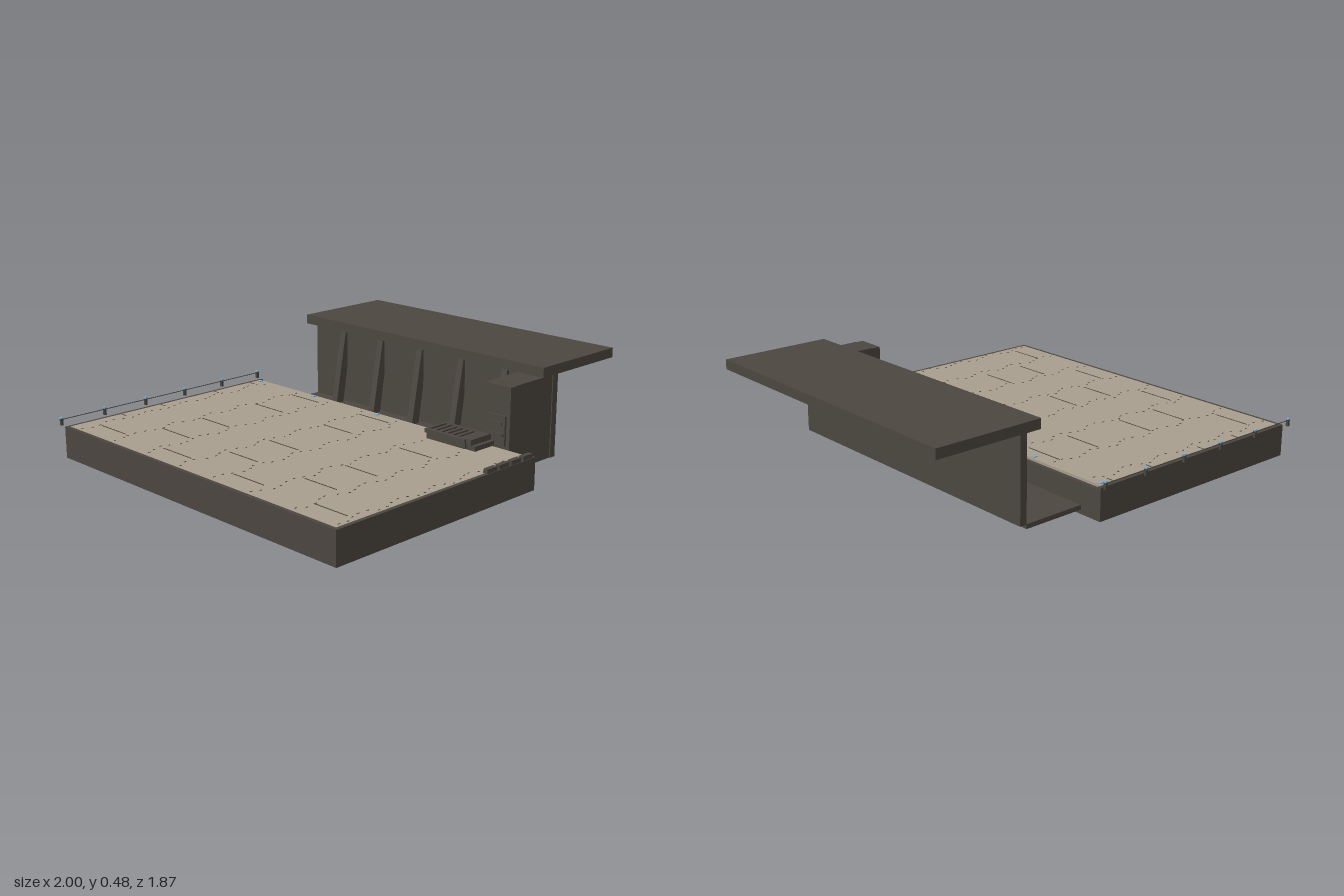
import * as THREE from 'three';

export function createModel() {
  const root = new THREE.Group();
  root.name = 'platformWithShelter';
  const mat = (name, color) => {
    const m = new THREE.MeshStandardMaterial({ color });
    m.name = name;
    return m;
  };
  const dark = mat('darkConcrete', 0x4c4740);
  const stone = mat('paleStone', 0xa99e8e);
  const blue = mat('paleBlueLight', 0x7fabd0);

  // box given by its min and max on each axis
  function box(name, m, x0, x1, y0, y1, z0, z1, parent = root) {
    const mesh = new THREE.Mesh(new THREE.BoxGeometry(x1 - x0, y1 - y0, z1 - z0), m);
    mesh.position.set((x0 + x1) / 2, (y0 + y1) / 2, (z0 + z1) / 2);
    mesh.name = name;
    parent.add(mesh);
    return mesh;
  }
  function group(name) {
    const g = new THREE.Group();
    g.name = name;
    root.add(g);
    return g;
  }

  // hollow base: four walls and a deck, open underneath
  const base = group('platformBase');
  const L = -0.99, R = 0.225, B = -0.9, F = 0.93, T = 0.018;
  box('backWall', dark, L, R, 0, 0.154, B, B + T, base);
  box('frontWall', dark, L, R, 0, 0.154, F - T, F, base);
  box('rightWall', dark, L, L + T, 0, 0.154, B + T, F - T, base);
  box('leftWall', dark, R - T, R, 0, 0.143, B + T, F - T, base);
  box('deck', dark, L + T, R - T, 0.125, 0.143, B + T, F - T, base);
  box('paving', stone, L + T, R - T, 0.143, 0.155, B + T, F - T, base);

  // joints between the slabs: alternating cross joints and broken long joints
  const joints = group('pavingJoints');
  const rowsA = [[-0.79, -0.6], [-0.31, -0.11], [0.18, 0.37], [0.67, 0.86]];
  const rowsB = [[-0.55, -0.35], [-0.06, 0.13], [0.43, 0.62]];
  const joint = (x, z0, z1) =>
    box('crossJoint', dark, x - 0.002, x + 0.002, 0.154, 0.157, z0, z1, joints);
  rowsA.forEach(([a, b]) => joint(-0.86, a, b));
  rowsB.forEach(([a, b], i) => {
    [-0.685, -0.45, -0.11].forEach((x) => joint(x, a, b));
    if (i < 2) joint(0.13, a, b);
  });
  [-0.685, -0.45, -0.11, 0.13].forEach((x) => joint(x, -0.88, -0.84));
  let seed = 7;
  const rand = () => (seed = (seed * 16807) % 2147483647) / 2147483647;
  [-0.815, -0.57, -0.325, -0.075, 0.165, 0.41, 0.66, 0.88].forEach((z, row) => {
    for (let i = 0; i < 26; i++) {
      const x = -0.96 + i * 0.0445 + rand() * 0.015;
      if (x > 0.06 && z > 0.38 && z < 0.72) continue;
      const zz = z + 0.018 * Math.sin(i * 1.3 + row) + (rand() - 0.5) * 0.01;
      const chip = box('chippedJoint', dark, x, x + 0.012, 0.154, 0.157, zz, zz + 0.003, joints);
      chip.rotation.y = (rand() - 0.5) * 0.9;
    }
  });

  // row of low blocks on the front edge
  for (let i = 0; i < 4; i++) {
    const x = -0.1 + i * 0.081;
    box('edgeBlock', dark, x, x + 0.065, 0.154, 0.174, F - 0.026, F - 0.003);
  }

  // rail with lit posts behind the back edge
  const rail = group('backRail');
  box('railWire', dark, L, R, 0.181, 0.184, -0.929, -0.926, rail);
  for (let i = 0; i < 6; i++) {
    const x = L + ((R - L) * i) / 5;
    box('railPost', dark, x - 0.006, x + 0.006, 0.155, 0.187, -0.934, -0.921, rail);
    box('railLamp', blue, x - 0.007, x + 0.007, 0.187, 0.194, -0.935, -0.92, rail);
  }

  // small lights set into the paving
  [-0.86, -0.45, 0].forEach((z) =>
    box('floorLight', blue, 0.178, 0.2, 0.154, 0.159, z - 0.01, z + 0.01));

  // low slatted bench with a step
  const bench = group('slattedBench');
  box('benchBody', dark, 0.085, 0.22, 0.155, 0.188, 0.415, 0.645, bench);
  box('benchRim', dark, 0.075, 0.095, 0.185, 0.203, 0.41, 0.65, bench);
  box('benchRim', dark, 0.21, 0.222, 0.185, 0.203, 0.41, 0.65, bench);
  box('benchEnd', dark, 0.095, 0.21, 0.185, 0.203, 0.41, 0.425, bench);
  box('benchEnd', dark, 0.095, 0.21, 0.185, 0.203, 0.61, 0.65, bench);
  box('benchInset', stone, 0.1, 0.21, 0.186, 0.191, 0.43, 0.607, bench);
  for (let i = 0; i < 5; i++) {
    const z = 0.437 + i * 0.034;
    box('benchSlat', dark, 0.098, 0.21, 0.188, 0.2, z, z + 0.018, bench);
  }
  box('benchStep', dark, 0.09, 0.222, 0.155, 0.178, 0.65, 0.7, bench);
  box('benchStepTop', dark, 0.085, 0.225, 0.178, 0.205, 0.65, 0.68, bench);

  // shelter: floor, outer wall, roof and end block
  const shelter = group('shelter');
  box('shelterFloor', dark, 0.225, 0.535, 0.02, 0.042, -0.785, 0.587, shelter);
  box('outerWall', dark, 0.535, 0.57, 0.04, 0.438, -0.785, 0.78, shelter);
  box('roof', dark, 0.46, 1.0, 0.438, 0.485, -0.785, 0.78, shelter);
  box('endBlock', dark, 0.28, 0.535, 0.04, 0.437, 0.63, 0.775, shelter);
  box('endPillar', dark, 0.235, 0.28, 0.04, 0.435, 0.63, 0.775, shelter);

  // stepped panel on the pillar
  box('pillarPanel', dark, 0.224, 0.236, 0.16, 0.3, 0.65, 0.755, shelter);
  box('panelLedge', dark, 0.215, 0.226, 0.205, 0.22, 0.655, 0.75, shelter);
  box('panelLedge', dark, 0.215, 0.226, 0.255, 0.27, 0.665, 0.74, shelter);

  // leaning buttresses against the inside of the wall
  const fin = new THREE.Shape();
  fin.moveTo(0.455, 0.042);
  fin.lineTo(0.505, 0.042);
  fin.lineTo(0.537, 0.25);
  fin.lineTo(0.537, 0.438);
  fin.lineTo(0.525, 0.438);
  const finGeo = new THREE.ExtrudeGeometry(fin, { depth: 0.035, bevelEnabled: false });
  for (let i = 0; i < 5; i++) {
    const mesh = new THREE.Mesh(finGeo, dark);
    mesh.name = 'wallButtress';
    mesh.position.z = -0.59 + i * 0.27;
    shelter.add(mesh);
  }
  return root;
}
